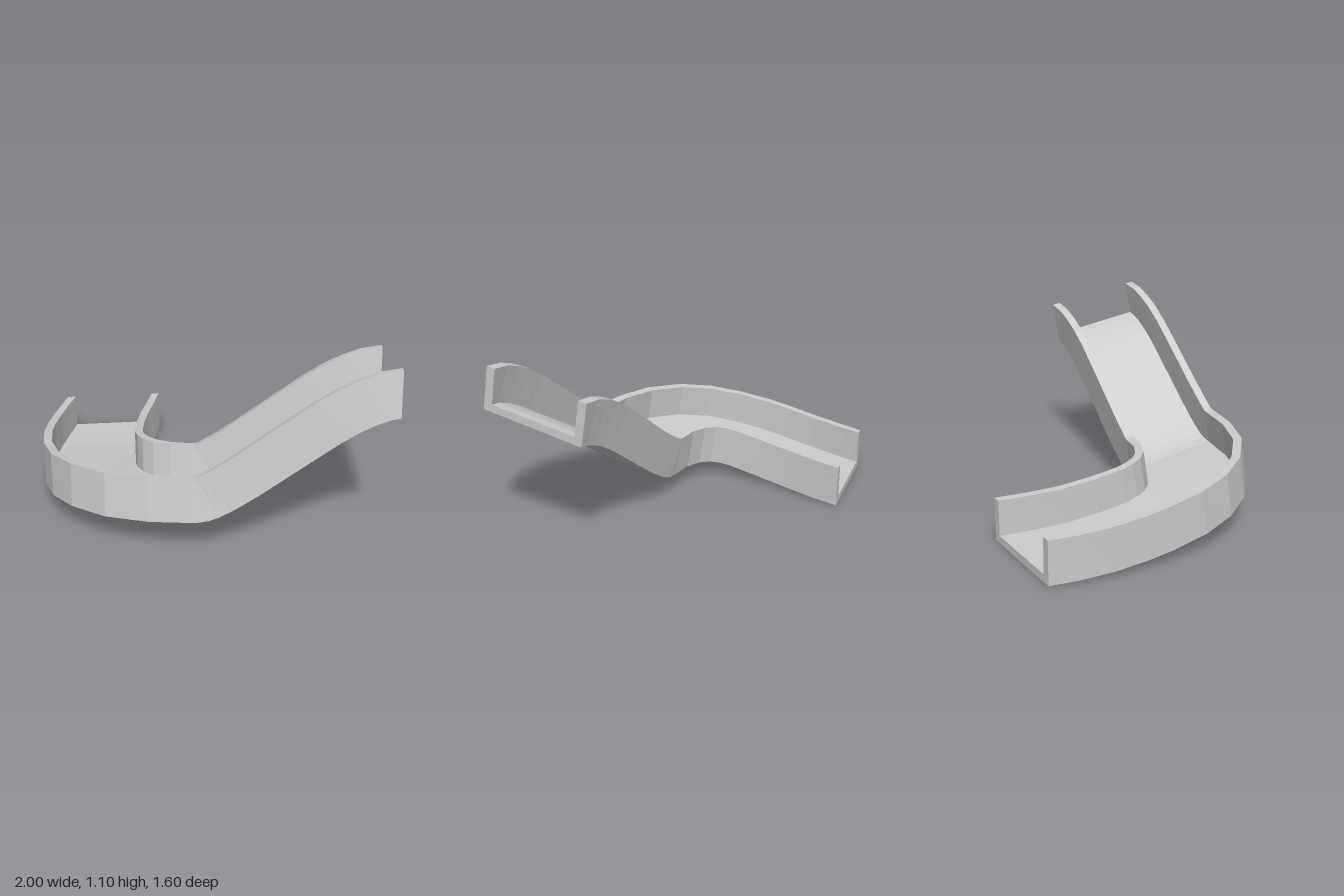
import * as THREE from 'three';

const WALL = 0.05, FLOOR = 0.045, HEIGHT = 0.257;

// Straight run: [x, height of the outer lower edge], top to bottom
const slope = [
  [1, 0.848], [0.95, 0.838], [0.88, 0.812], [0.8, 0.772], [0.7, 0.708], [0.5, 0.56],
  [0.3, 0.41], [0.2, 0.34], [0.13, 0.295], [0.06, 0.255], [0, 0.232], [-0.07, 0.221],
];

// Banked bend and run-out: outer lower edge x, y, z, then inner lower edge x, y, z
const bend = [
  [-0.33, 0.213, 0.77, -0.205, 0.114, 0.172],
  [-0.57, 0.2, 0.69, -0.297, 0.11, 0.13],
  [-0.77, 0.18, 0.545, -0.35, 0.104, 0.08],
  [-0.9, 0.15, 0.37, -0.376, 0.096, 0.022],
  [-0.97, 0.115, 0.17, -0.388, 0.085, -0.04],
  [-1, 0.08, -0.05, -0.389, 0.072, -0.11],
  [-1, 0.055, -0.2, -0.387, 0.055, -0.21],
  [-0.985, 0.025, -0.4, -0.37, 0.025, -0.42],
  [-0.96, 0.008, -0.58, -0.338, 0.008, -0.62],
  [-0.93, 0, -0.75, -0.312, 0, -0.8],
];

function stations() {
  const v = (x, y, z) => new THREE.Vector3(x, y, z);
  return [
    ...slope.map(([x, y]) => ({ outer: v(x, y, 0.8), inner: v(x, y - 0.108, 0.19) })),
    ...bend.map(([a, b, c, d, e, f]) => ({ outer: v(a, b, c), inner: v(d, e, f) })),
  ];
}

// U-shaped ring of eight corners set square to the path at each station
function rings() {
  const list = stations();
  const mid = list.map((s) => s.outer.clone().add(s.inner).multiplyScalar(0.5));
  const dir = (i) => mid[i + 1].clone().sub(mid[i]).normalize();
  return list.map(({ outer, inner }, i) => {
    const across = outer.clone().sub(inner);
    const w = across.length();
    across.normalize();
    let up;
    if (i === 0 || i === list.length - 1) {
      // the two cut ends stand upright
      up = new THREE.Vector3(0, 1, 0);
      up.addScaledVector(across, -up.dot(across)).normalize();
    } else {
      up = dir(i - 1).add(dir(i)).cross(across).normalize();
    }
    const section = [
      [0, 0], [w, 0], [w, HEIGHT], [w - WALL, HEIGHT],
      [w - WALL, FLOOR], [WALL, FLOOR], [WALL, HEIGHT], [0, HEIGHT],
    ];
    return section.map(([a, b]) =>
      inner.clone().addScaledVector(across, a).addScaledVector(up, b));
  });
}

function chuteGeometry() {
  const ring = rings();
  const pos = [];
  const quad = (a, b, c, d) => {
    for (const p of [a, b, c, a, c, d]) pos.push(p.x, p.y, p.z);
  };
  // skin between neighbouring rings
  for (let k = 0; k < ring.length - 1; k++) {
    for (let i = 0; i < 8; i++) {
      const j = (i + 1) % 8;
      quad(ring[k][i], ring[k][j], ring[k + 1][j], ring[k + 1][i]);
    }
  }
  // end faces: floor strip and two walls
  const first = ring[0], last = ring[ring.length - 1];
  for (const face of [[0, 1, 4, 5], [1, 2, 3, 4], [0, 5, 6, 7]]) {
    quad(...face.map((i) => last[i]));
    quad(...face.slice().reverse().map((i) => first[i]));
  }
  const geometry = new THREE.BufferGeometry();
  geometry.setAttribute('position', new THREE.Float32BufferAttribute(pos, 3));
  geometry.computeVertexNormals();
  return geometry;
}

export function createModel() {
  const group = new THREE.Group();
  group.name = 'curvedSlide';
  const material = new THREE.MeshStandardMaterial({ color: 0xcccccc, flatShading: true });
  const chute = new THREE.Mesh(chuteGeometry(), material);
  chute.name = 'slideChute';
  group.add(chute);
  return group;
}
